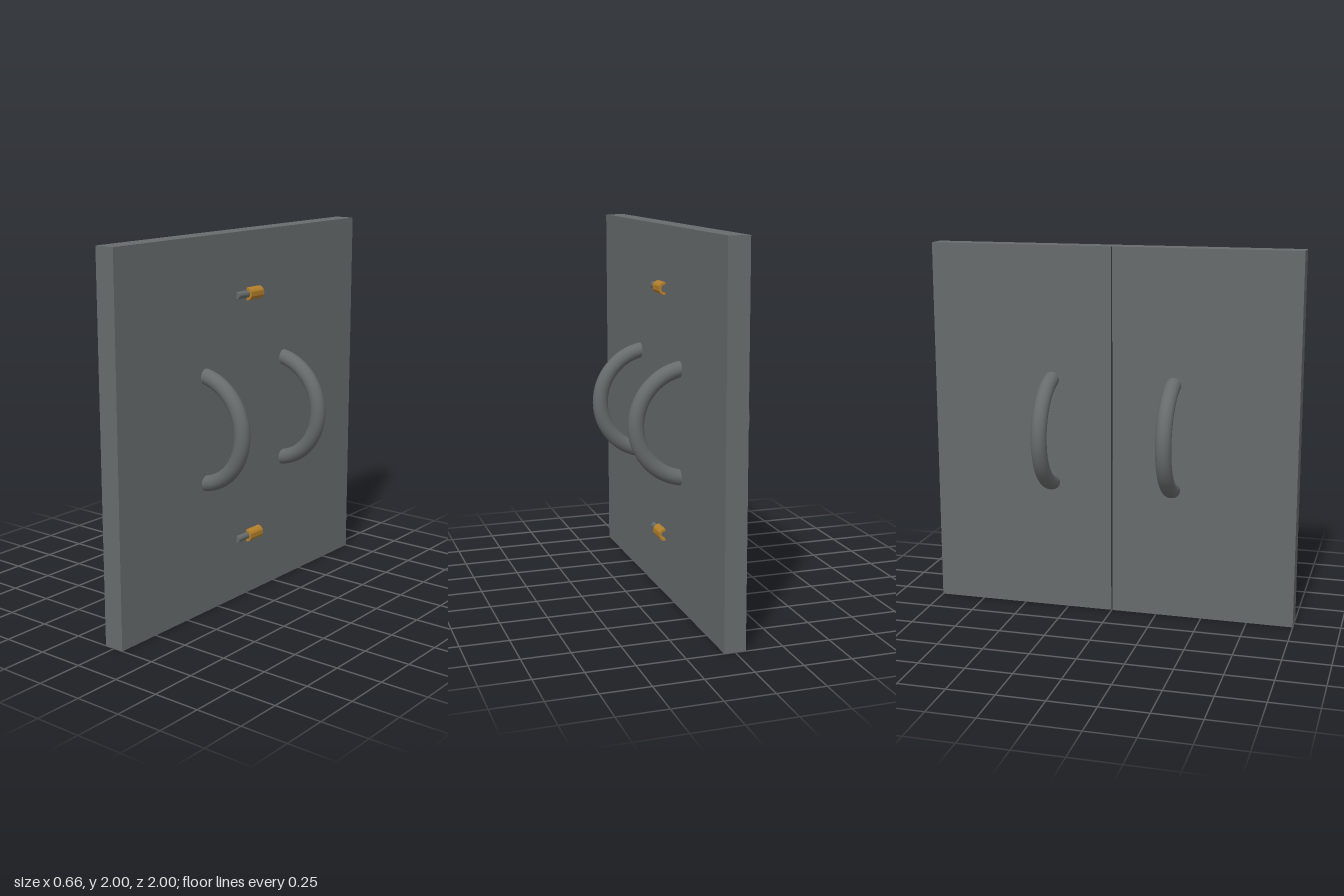
import * as THREE from 'three';
import { toCreasedNormals } from 'three/addons/utils/BufferGeometryUtils.js';

const steel = new THREE.MeshStandardMaterial({ color: 0x676b6b });
steel.name = 'steel grey';
const brass = new THREE.MeshStandardMaterial({ color: 0xb5802b });
brass.name = 'brass';
const shadowGap = new THREE.MeshStandardMaterial({ color: 0x2e3030 });
shadowGap.name = 'dark seam';

const HALF = 0.056; // half the door thickness

function add(parent, name, geometry, material, x, y, z) {
  const mesh = new THREE.Mesh(geometry, material);
  mesh.name = name;
  mesh.position.set(x, y, z);
  parent.add(mesh);
  return mesh;
}

// Hollow sleeve running along z
function sleeveGeometry(outer, inner, length) {
  const ring = new THREE.Shape().absarc(0, 0, outer, 0, Math.PI * 2, false);
  ring.holes.push(new THREE.Path().absarc(0, 0, inner, 0, Math.PI * 2, true));
  const geometry = new THREE.ExtrudeGeometry(ring, { depth: length, bevelEnabled: false, curveSegments: 32 });
  return toCreasedNormals(geometry, 0.6);
}

export function createModel() {
  const model = new THREE.Group();
  model.name = 'doubleDoor';

  // Two door leaves meeting at the middle
  for (const side of [1, -1]) {
    const leaf = new THREE.Group();
    leaf.name = side > 0 ? 'frontLeaf' : 'backLeaf';
    add(leaf, 'panel', new THREE.BoxGeometry(HALF * 2, 2, 1), steel, 0, 1, side * 0.5);
    // Ring handle passing through the leaf
    add(leaf, 'ringHandle', new THREE.TorusGeometry(0.29, 0.042, 24, 72), steel, 0, 0.998, side * 0.335);
    model.add(leaf);
  }

  // Fine seam between the leaves on the outer face
  add(model, 'seam', new THREE.BoxGeometry(0.002, 2, 0.006), shadowGap, -HALF, 1, 0);

  // Upper and lower barrel bolts
  for (const y of [0.335, 1.67]) {
    const bolt = new THREE.Group();
    bolt.name = 'bolt';
    bolt.position.set(HALF + 0.001, y, 0);
    add(bolt, 'boltSleeve', sleeveGeometry(0.034, 0.021, 0.108), brass, 0, 0, -0.108);
    const pin = add(bolt, 'boltPin', new THREE.CylinderGeometry(0.019, 0.019, 0.12, 32), steel, 0, 0, 0.025);
    pin.rotation.x = Math.PI / 2;
    model.add(bolt);
  }

  return model;
}
